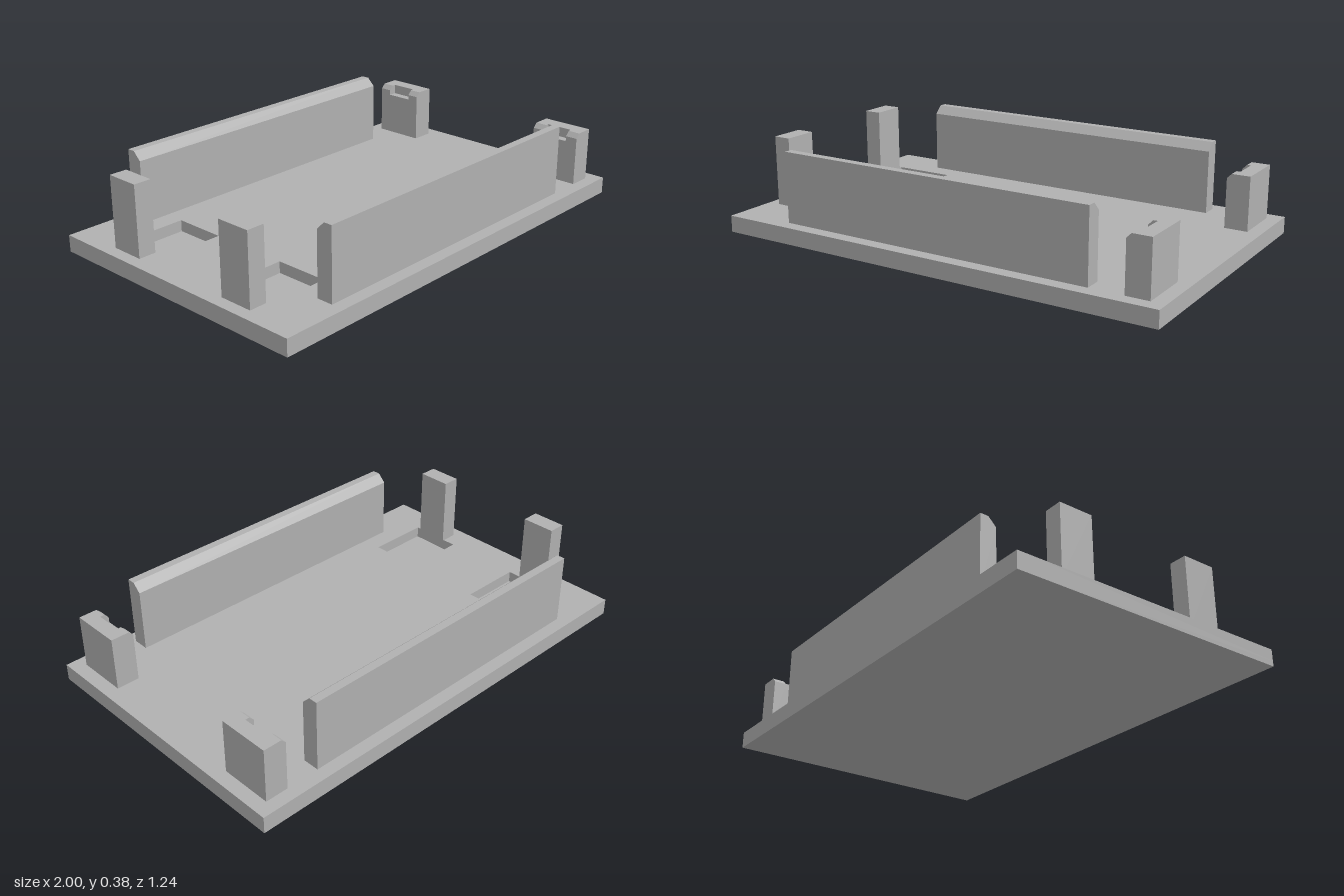
import * as THREE from 'three';

const PLATE_TOP = 0.072;
const POCKET_FLOOR = 0.023;

// Closed outline extruded along +z from z0 to z1.
function prism(points, z0, z1) {
  const shape = new THREE.Shape(points.map(([x, y]) => new THREE.Vector2(x, y)));
  return new THREE.ExtrudeGeometry(shape, { depth: z1 - z0, bevelEnabled: false }).translate(0, 0, z0);
}

function rect(x0, y0, x1, y1) {
  return [[x0, y0], [x1, y0], [x1, y1], [x0, y1]];
}

export function createModel() {
  const model = new THREE.Group();
  model.name = 'mountingTray';
  const grey = new THREE.MeshStandardMaterial({ color: 0xb0b0b0 });
  grey.name = 'grey plastic';

  function add(name, geometry, parent = model) {
    const mesh = new THREE.Mesh(geometry, grey);
    mesh.name = name;
    parent.add(mesh);
  }

  // Base plate: solid floor under a layer with two pockets cut out
  const base = new THREE.Group();
  base.name = 'basePlate';
  model.add(base);
  add('plateFloor', new THREE.BoxGeometry(2, POCKET_FLOOR, 1.244).translate(0, POCKET_FLOOR / 2, 0), base);

  const outline = new THREE.Shape(rect(-1, -0.622, 1, 0.622).map(p => new THREE.Vector2(...p)));
  for (const [z0, z1] of [[0.175, 0.407], [-0.407, -0.175]]) {
    outline.holes.push(new THREE.Path(rect(-0.877, z0, -0.6, z1).map(p => new THREE.Vector2(...p))));
  }
  const top = new THREE.ExtrudeGeometry(outline, { depth: PLATE_TOP - POCKET_FLOOR, bevelEnabled: false });
  add('plateTop', top.rotateX(-Math.PI / 2).translate(0, POCKET_FLOOR, 0), base);

  // Clip outlines: full end cheek with a small chamfer, and the notched middle
  const cheek = [[0.84, PLATE_TOP], [0.94, PLATE_TOP], [0.94, 0.305], [0.86, 0.305], [0.84, 0.285]];
  const notched = [[0.84, PLATE_TOP], [0.94, PLATE_TOP], [0.94, 0.305], [0.877, 0.305], [0.877, 0.262], [0.84, 0.262]];

  for (const [side, s] of [['front', 1], ['back', -1]]) {
    const mirrored = (points, a, b) => prism(points, Math.min(s * a, s * b), Math.max(s * a, s * b));

    // Long wall with its inner top edge chamfered
    const wall = [[0.495, PLATE_TOP], [0.566, PLATE_TOP], [0.566, 0.378], [0.53, 0.378], [0.495, 0.343]];
    const wallGeometry = prism(wall.map(([z, y]) => [s * z, y]), -0.695, 0.722);
    add(side + 'Wall', wallGeometry.rotateY(-Math.PI / 2));

    // Tall post beside the pocket
    add(side + 'Post', mirrored(rect(-0.947, PLATE_TOP, -0.87, 0.378), 0.236, 0.385));

    // Short notched clip at the other end
    const clip = new THREE.Group();
    clip.name = side + 'Clip';
    model.add(clip);
    add('innerCheek', mirrored(cheek, 0.342, 0.394), clip);
    add('notchedMiddle', mirrored(notched, 0.394, 0.512), clip);
    add('outerCheek', mirrored(cheek, 0.512, 0.566), clip);
  }
  return model;
}
